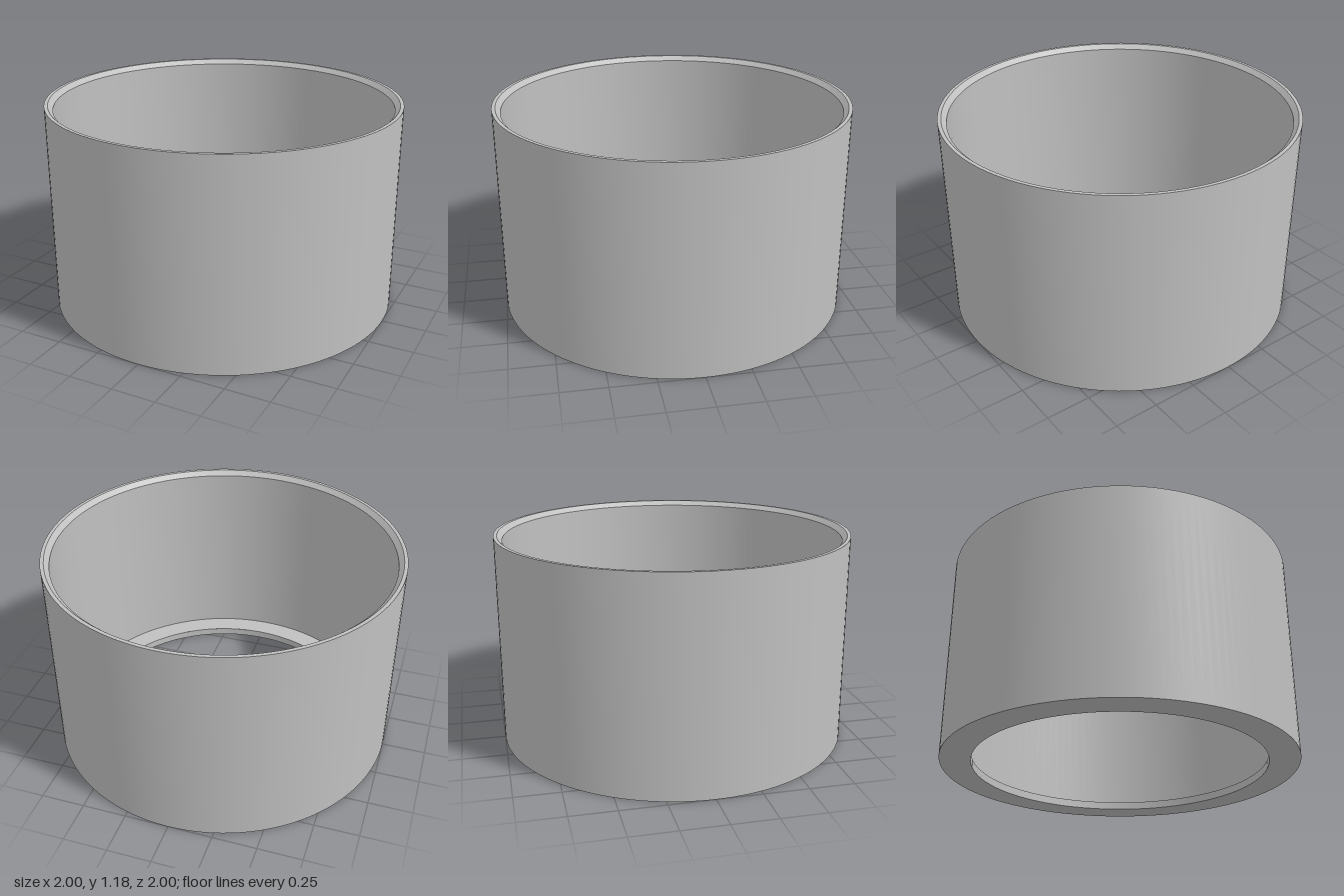
import * as THREE from 'three';
import { toCreasedNormals } from 'three/addons/utils/BufferGeometryUtils.js';

const SEGMENTS = 128;
const HEIGHT = 1.185;
const WALL_INNER = 0.953;
const FLANGE_INNER = 0.828;
const FLANGE_TOP = 0.045;

export function createModel() {
  const model = new THREE.Group();
  model.name = 'flangedRing';
  const grey = new THREE.MeshStandardMaterial({ color: 0xc0c0c0 });
  grey.name = 'light grey';

  const add = (name, geometry, parent = model) => {
    const mesh = new THREE.Mesh(geometry, grey);
    mesh.name = name;
    parent.add(mesh);
    return mesh;
  };

  // Outer wall, chamfered rim and underside, turned from one profile
  const profile = [
    [FLANGE_INNER, FLANGE_TOP], [FLANGE_INNER, 0], [1, 0], [1, HEIGHT],
    [0.98, HEIGHT], [WALL_INNER, HEIGHT - 0.027], [WALL_INNER, FLANGE_TOP],
  ].map(([r, y]) => new THREE.Vector2(r, y));
  add('ringWall', toCreasedNormals(new THREE.LatheGeometry(profile, SEGMENTS), 0.5));

  // Flange top, pierced by the bore and three small blind holes
  const holeRadius = 0.038;
  const holeDepth = 0.022;
  const centres = [0, 12, 24].map((degrees) => {
    const a = THREE.MathUtils.degToRad(degrees);
    return new THREE.Vector2(0.885 * Math.cos(a), 0.885 * Math.sin(a));
  });
  const floor = new THREE.Shape().absarc(0, 0, WALL_INNER, 0, Math.PI * 2);
  floor.holes.push(new THREE.Path().absarc(0, 0, FLANGE_INNER, 0, Math.PI * 2, true));
  for (const c of centres) {
    floor.holes.push(new THREE.Path().absarc(c.x, c.y, holeRadius, 0, Math.PI * 2, true));
  }
  const floorGeometry = new THREE.ShapeGeometry(floor, SEGMENTS);
  floorGeometry.rotateX(-Math.PI / 2);
  add('flangeTop', floorGeometry).position.y = FLANGE_TOP;

  // Blind holes: side and bottom of each recess, facing inward and up
  const recess = [[0, 0], [holeRadius, 0], [holeRadius, holeDepth]]
    .map(([r, y]) => new THREE.Vector2(r, y)).reverse();
  const recessGeometry = toCreasedNormals(new THREE.LatheGeometry(recess, 32), 0.5);
  for (const c of centres) {
    add('blindHole', recessGeometry).position.set(c.x, FLANGE_TOP - holeDepth, -c.y);
  }

  return model;
}
